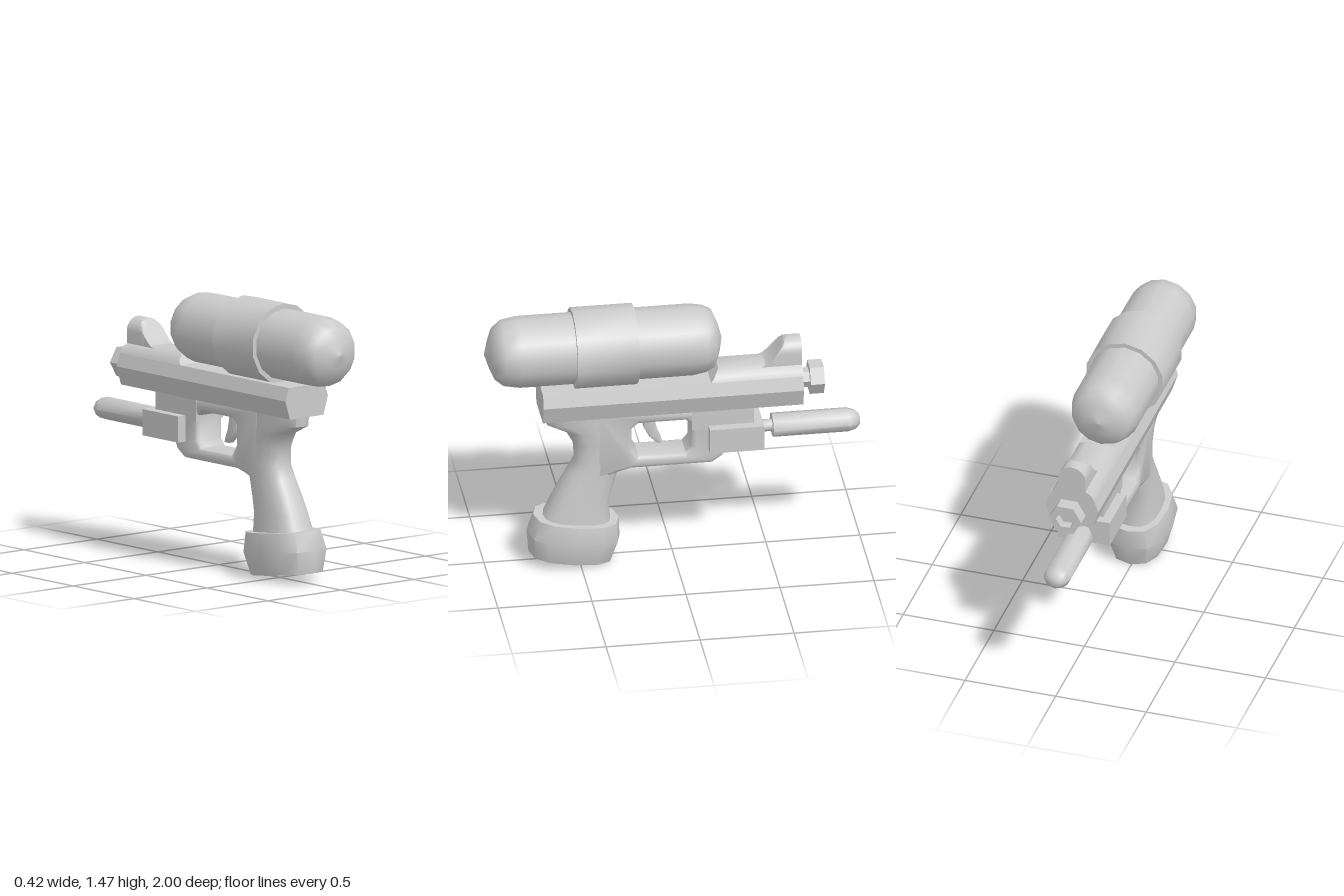
import * as THREE from 'three';
import { toCreasedNormals } from 'three/addons/utils/BufferGeometryUtils.js';

const material = new THREE.MeshStandardMaterial({ color: 0xcccccc, side: THREE.DoubleSide });

export function createModel() {
  const model = new THREE.Group();
  const cx = 0.012; // everything below the tank sits slightly off centre

  const add = (name, geometry, x = cx, y = 0, crease = 0.6) => {
    const mesh = new THREE.Mesh(crease ? toCreasedNormals(geometry, crease) : geometry, material);
    mesh.name = name;
    mesh.position.set(x, y, 0);
    model.add(mesh);
    return mesh;
  };
  const points = (list) => list.map(([a, b]) => new THREE.Vector2(a, b));

  // Lathe along z from [radius, z] pairs with rising z
  const latheZ = (profile, sides) => new THREE.LatheGeometry(points(profile), sides).rotateX(Math.PI / 2);

  // Side outline of [z, y] pairs, extruded across x and centred
  const sidePlate = (outline, width, bevel = 0, hole) => {
    const shape = new THREE.Shape(points(outline));
    if (hole) shape.holes.push(new THREE.Path(points(hole)));
    const depth = width - 2 * bevel;
    return new THREE.ExtrudeGeometry(shape, {
      depth, bevelEnabled: bevel > 0, bevelSize: bevel, bevelThickness: bevel, bevelOffset: -bevel, bevelSegments: 2,
    }).translate(0, 0, -depth / 2).rotateY(-Math.PI / 2);
  };

  // Closed loft, top to bottom, through rings [rearZ, rearY, frontZ, frontY, halfWidth]
  const loft = (rings, sides, power) => {
    const pos = [], index = [];
    const soften = (v) => Math.sign(v) * Math.abs(v) ** power;
    for (const [rz, ry, fz, fy, w] of rings) {
      for (let i = 0; i < sides; i++) {
        const a = (i / sides) * Math.PI * 2;
        const c = soften(Math.cos(a)) / 2;
        pos.push(w * soften(Math.sin(a)), (ry + fy) / 2 + (ry - fy) * c, (rz + fz) / 2 + (rz - fz) * c);
      }
    }
    const last = (rings.length - 1) * sides;
    for (let i = 0; i < sides; i++) {
      const j = (i + 1) % sides;
      for (let r = 0; r < last; r += sides) {
        index.push(r + i, r + sides + i, r + j, r + j, r + sides + i, r + sides + j);
      }
      if (i > 0 && j > 0) index.push(0, i, j, last, last + j, last + i);
    }
    const g = new THREE.BufferGeometry();
    g.setAttribute('position', new THREE.Float32BufferAttribute(pos, 3));
    g.setIndex(index);
    return g;
  };

  // Water tank with rounded ends and its band
  add('tank', latheZ([
    [0, -0.265], [0.085, -0.243], [0.155, -0.215], [0.178, -0.17], [0.19, -0.1],
    [0.19, 0.82], [0.175, 0.905], [0.14, 0.95], [0.08, 0.975], [0, 1],
  ], 14), 0, 1.255, 0);
  add('tankBand', latheZ([[0.185, 0.2], [0.215, 0.2], [0.215, 0.53], [0.185, 0.53]], 14), 0, 1.255);

  // Main body: six-sided bar
  const barrel = new THREE.Shape(points([
    [-0.115, 0.885], [0.115, 0.885], [0.146, 0.985], [0.122, 1.055], [-0.122, 1.055], [-0.146, 0.985],
  ]));
  add('body', new THREE.ExtrudeGeometry(barrel, { depth: 1.385, bevelEnabled: false }).translate(0, 0, -0.68), cx, 0, 0.4);

  // Raised top of the body with a sloping rear
  const humpShape = new THREE.Shape(points([
    [-0.122, 1.05], [0.122, 1.05], [0.108, 1.08], [0.06, 1.112], [-0.06, 1.112], [-0.108, 1.08],
  ]));
  const hump = new THREE.ExtrudeGeometry(humpShape, { depth: 0.49, bevelEnabled: false }).translate(0, 0, -0.68);
  const hp = hump.attributes.position;
  for (let i = 0; i < hp.count; i++) {
    if (hp.getZ(i) > -0.5) hp.setZ(i, -0.19 - (hp.getY(i) - 1.055) * 0.8);
  }
  add('bodyTop', hump, cx, 0, 0.7);

  // Sight: an arch cut down to a concave ramp towards the rear
  const arch = new THREE.Shape();
  arch.moveTo(-0.075, 1.05);
  arch.lineTo(0.075, 1.05);
  arch.lineTo(0.075, 1.165);
  arch.absarc(0, 1.165, 0.075, 0, Math.PI, false);
  const sight = new THREE.ExtrudeGeometry(arch, { depth: 0.21, steps: 14, curveSegments: 8, bevelEnabled: false })
    .translate(0, 0, -0.68);
  const sp = sight.attributes.position;
  for (let i = 0; i < sp.count; i++) {
    const t = THREE.MathUtils.clamp((-0.47 - sp.getZ(i)) / 0.125, 0, 1);
    sp.setY(i, Math.min(sp.getY(i), 1.105 + 0.135 * t ** 1.5));
  }
  add('sight', sight);

  // Hexagonal nozzle with a recessed bore
  add('nozzle', latheZ([
    [0, -0.75], [0.05, -0.75], [0.05, -0.8], [0.09, -0.8], [0.09, -0.725], [0.052, -0.725], [0.052, -0.67],
  ], 6).rotateZ(Math.PI / 2), cx, 0.984);

  // Lower frame and trigger guard
  add('frame', sidePlate([
    [0.42, 0.9], [-0.2, 0.9], [-0.28, 0.86], [-0.285, 0.645], [-0.26, 0.595], [-0.2, 0.555],
    [0.23, 0.555], [0.285, 0.54], [0.42, 0.5],
  ], 0.18, 0.025, [
    [0.19, 0.82], [0.225, 0.79], [0.225, 0.68], [0.19, 0.625],
    [-0.06, 0.625], [-0.09, 0.66], [-0.09, 0.795], [-0.06, 0.82],
  ]), cx, 0, 0.8);
  add('frontBlock', new THREE.BoxGeometry(0.184, 0.13, 0.33).translate(0, 0.83, -0.257));

  // Curved trigger
  add('trigger', sidePlate([
    [0.165, 0.835], [0.155, 0.765], [0.125, 0.705], [0.085, 0.665], [0.055, 0.665],
    [0.06, 0.69], [0.08, 0.735], [0.09, 0.78], [0.09, 0.835],
  ], 0.05, 0.01));

  // Grip, flaring at the top rear and towards its foot
  add('grip', loft([
    [0.685, 0.89, 0.24, 0.89, 0.09],
    [0.68, 0.83, 0.24, 0.83, 0.09],
    [0.575, 0.78, 0.235, 0.78, 0.09],
    [0.53, 0.7, 0.235, 0.7, 0.09],
    [0.522, 0.6, 0.26, 0.6, 0.09],
    [0.56, 0.53, 0.29, 0.53, 0.092],
    [0.605, 0.45, 0.318, 0.43, 0.1],
    [0.65, 0.36, 0.338, 0.34, 0.108],
    [0.7, 0.25, 0.33, 0.22, 0.118],
  ], 16, 0.75), cx, 0, 0.9);

  // Wide tilted foot of the grip
  add('gripBase', loft([
    [0.74, 0.28, 0.285, 0.23, 0.152],
    [0.775, 0.18, 0.28, 0.12, 0.175],
    [0.765, 0.06, 0.32, 0.003, 0.14],
  ], 12, 0.8), cx, 0, 0.75);

  // Pump block, with rod and rounded handle
  add('pumpBlock', new THREE.BoxGeometry(0.285, 0.14, 0.29).translate(0, 0.715, -0.325));
  add('pumpHandle', latheZ([
    [0, -1], [0.035, -0.994], [0.06, -0.972], [0.075, -0.93], [0.075, -0.53], [0.038, -0.53], [0.038, -0.46],
  ], 8).scale(1, 0.82, 1), cx, 0.712, 0.95);

  return model;
}
